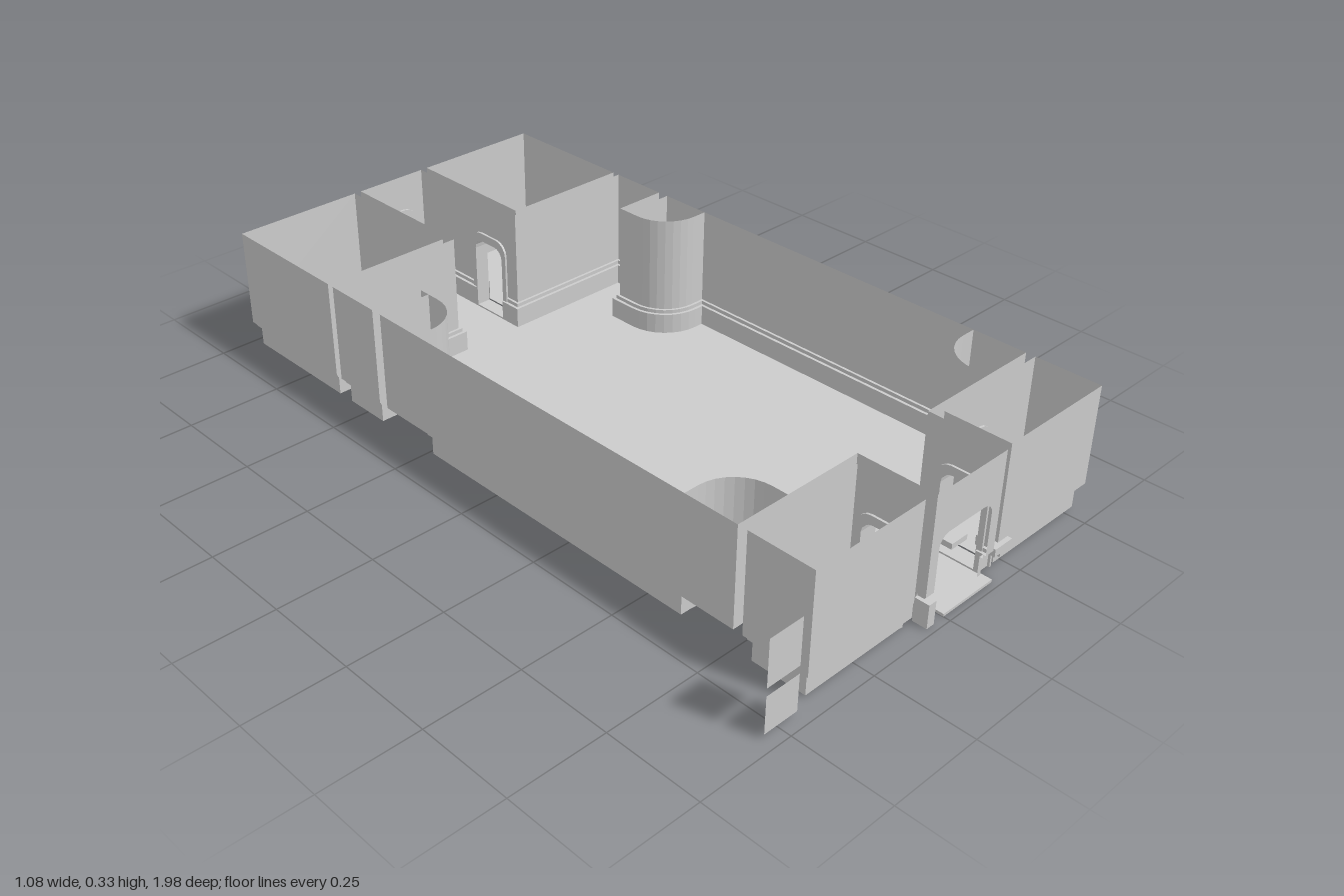
import * as THREE from 'three';
import { mergeGeometries } from 'three/addons/utils/BufferGeometryUtils.js';

const TOP = 0.335, LEDGE = 0.075, FLOOR = 0.01, MID = 0.0625;
const mat = new THREE.MeshStandardMaterial({ color: 0xcccccc, side: THREE.DoubleSide, flatShading: true });
// skirting cross-section: [inset from wall, height]
const SKIRT = [[0.015, FLOOR], [0.015, 0.065], [0.007, 0.065], [0.007, LEDGE], [0, LEDGE]];

// doorways: centre, clear width, wall axis, depth of the connecting frame
const DOORS = [
  { name: 'backLeftDoor', x: -0.05, z: -0.68, w: 0.115, axis: 'z', d: 0.04 },
  { name: 'backRightDoor', x: 0.175, z: -0.68, w: 0.115, axis: 'z', d: 0.04 },
  { name: 'frontLeftDoor', x: -0.07, z: 0.875, w: 0.115, axis: 'z', d: 0.05 },
  { name: 'frontRightDoor', x: 0.1925, z: 0.878, w: 0.115, axis: 'z', d: 0.045 },
  { name: 'hallDoor', x: 0.31, z: 0.778, w: 0.115, axis: 'x', d: 0.045 },
  { name: 'rearExit', x: MID, z: -0.983, w: 0.115, axis: 'x', d: 0.034 },
  { name: 'frontEntrance', x: MID, z: 0.97, w: 0.18, axis: 'x', d: 0 },
];

const v2 = (p) => new THREE.Vector2(p[0], p[1]);
const mirror = (pts) => pts.map(([x, z]) => [2 * MID - x, z]).reverse();

function add(group, name, geometry) {
  const mesh = new THREE.Mesh(geometry, mat);
  mesh.name = name;
  group.add(mesh);
  return mesh;
}

function box(group, name, x0, x1, y0, y1, z0, z1) {
  const g = new THREE.BoxGeometry(x1 - x0, y1 - y0, z1 - z0);
  g.translate((x0 + x1) / 2, (y0 + y1) / 2, (z0 + z1) / 2);
  return add(group, name, g);
}

// points of a round-shouldered door outline, from lower left to lower right
function arch(c, w, y0, h, r = 0.03) {
  const pts = [[c - w / 2, y0]];
  for (let i = 0; i <= 4; i++) {
    const a = Math.PI - (i / 4) * Math.PI / 2;
    pts.push([c - w / 2 + r + r * Math.cos(a), h - r + r * Math.sin(a)]);
  }
  return pts.concat(pts.map(([x, y]) => [2 * c - x, y]).reverse());
}

function plate(pts, y) {
  return new THREE.ShapeGeometry(new THREE.Shape(pts.map(v2))).rotateX(Math.PI / 2).translate(0, y, 0);
}

// doorway on the wall a-b as a distance along it
function doorOn(a, b) {
  const d = v2(b).sub(v2(a)), len = d.length();
  d.normalize();
  for (const door of DOORS) {
    const p = new THREE.Vector2(door.x, door.z).sub(v2(a));
    const s = p.dot(d), off = Math.abs(p.cross(d));
    if (off < 0.02 && s > door.w / 2 && s < len - door.w / 2) return { s, w: door.w };
  }
  return null;
}

// upright wall above the ledge, notched for a doorway
function wall(a, b) {
  const d = v2(b).sub(v2(a)), len = d.length(), door = doorOn(a, b);
  d.normalize();
  const pts = [[0, LEDGE], ...(door ? arch(door.s, door.w, LEDGE, 0.217) : []), [len, LEDGE], [len, TOP], [0, TOP]];
  const m = new THREE.Matrix4().makeBasis(
    new THREE.Vector3(d.x, 0, d.y), new THREE.Vector3(0, 1, 0), new THREE.Vector3(-d.y, 0, d.x));
  m.setPosition(a[0], 0, a[1]);
  return new THREE.ShapeGeometry(new THREE.Shape(pts.map(v2))).applyMatrix4(m);
}

// move a closed outline inwards with mitred corners
function inset(pts, dist) {
  const n = pts.length;
  const normal = (i) => {
    const d = v2(pts[(i + 1) % n]).sub(v2(pts[i % n])).normalize();
    return new THREE.Vector2(-d.y, d.x);
  };
  return pts.map((p, i) => {
    const n1 = normal(i + n - 1), n2 = normal(i);
    const k = dist / (1 + n1.dot(n2));
    return [p[0] + (n1.x + n2.x) * k, p[1] + (n1.y + n2.y) * k];
  });
}

// stepped skirting around an outline, interrupted at doorways
function skirting(outline) {
  const rings = SKIRT.map(([d]) => inset(outline, d)), pos = [], n = outline.length;
  for (let i = 0; i < n; i++) {
    const j = (i + 1) % n, a = v2(outline[i]), dir = v2(outline[j]).sub(a).normalize();
    const door = doorOn(outline[i], outline[j]);
    for (let k = 0; k + 1 < SKIRT.length; k++) {
      const ends = [k, k + 1].map((l) => {
        const p = v2(rings[l][i]), q = v2(rings[l][j]);
        if (!door) return [p, q];
        const s0 = p.clone().sub(a).dot(dir);
        const at = (s) => p.clone().addScaledVector(dir, s - s0);
        return [p, at(door.s - door.w / 2), at(door.s + door.w / 2), q];
      });
      for (let e = 0; e < ends[0].length; e += 2) {
        const c = (l, m) => [ends[l][e + m].x, SKIRT[k + l][1], ends[l][e + m].y];
        pos.push(...c(0, 0), ...c(0, 1), ...c(1, 1), ...c(0, 0), ...c(1, 1), ...c(1, 0));
      }
    }
  }
  const g = new THREE.BufferGeometry();
  g.setAttribute('position', new THREE.Float32BufferAttribute(pos, 3));
  g.computeVertexNormals();
  return g;
}

function room(parent, name, outline) {
  const g = new THREE.Group();
  g.name = name;
  parent.add(g);
  add(g, 'walls', mergeGeometries(outline.map((p, i) => wall(p, outline[(i + 1) % outline.length]))));
  add(g, 'skirting', skirting(outline));
  add(g, 'floor', plate(inset(outline, SKIRT[0][0]), FLOOR));
}

// arched frame bridging the gap between two walls, with a rim at each end
function doorFrame(parent, door) {
  const g = new THREE.Group();
  g.name = door.name;
  const ring = (w, h, depth, z) => {
    const s = new THREE.Shape(arch(0, w, 0.003, h, 0.038).map(v2));
    s.holes.push(new THREE.Path(arch(0, door.w - 0.006, 0.01, 0.215).map(v2)));
    return new THREE.ExtrudeGeometry(s, { depth, bevelEnabled: false }).translate(0, 0, z);
  };
  add(g, 'frame', ring(door.w + 0.012, 0.228, door.d, -door.d / 2));
  for (const side of [-1, 1]) add(g, 'rim', ring(door.w + 0.024, 0.238, 0.006, side * (door.d / 2 - 0.003) - 0.003));
  g.position.set(door.x, 0, door.z);
  if (door.axis === 'z') g.rotation.y = Math.PI / 2;
  parent.add(g);
}

export function createModel() {
  const model = new THREE.Group();
  model.name = 'floorOfRooms';

  // four corner rooms
  const rect = (x0, x1, z0, z1) => [[x0, z0], [x1, z0], [x1, z1], [x0, z1]];
  room(model, 'backLeftRoom', rect(-0.415, -0.06, -0.975, -0.595));
  room(model, 'backRightRoom', rect(0.185, 0.54, -0.975, -0.595));
  room(model, 'frontLeftRoom', rect(-0.415, -0.085, 0.79, 0.963));
  room(model, 'frontRightRoom', rect(0.205, 0.54, 0.79, 0.963));

  // hall with both corridors and four rounded corner columns
  const arc = (z, a0, a1) => Array.from({ length: 9 }, (_, i) => {
    const a = (a0 + (a1 - a0) * i / 8) * Math.PI;
    return [0.5 + 0.105 * Math.cos(a), z + 0.105 * Math.sin(a)];
  });
  const backArc = arc(-0.35, 1, 0.5), frontArc = arc(0.725, 1.5, 1);
  const half = [[0.165, -0.975], [0.165, -0.575], [0.54, -0.575], [0.54, -0.415], [0.395, -0.415],
    ...backArc, [0.54, -0.245], [0.54, 0.62], ...frontArc, [0.395, 0.765], [0.18, 0.765], [0.18, 0.97]];
  room(model, 'hall', [...half, ...mirror(half)]);

  // outer walls, undersides and pegs of the columns
  const columns = [
    { outer: [[0.395, -0.385], [0.54, -0.385], [0.54, -0.245]], arc: backArc.slice().reverse(), z: -0.34 },
    { outer: [[0.54, 0.62], [0.54, 0.765], [0.395, 0.765]], arc: frontArc.slice().reverse(), z: 0.71 },
  ];
  for (const c of columns) for (const flip of [false, true]) {
    const f = (pts) => (flip ? mirror(pts) : pts);
    const o = f(c.outer);
    add(model, 'columnOuterWall', mergeGeometries([wall(o[0], o[1]), wall(o[1], o[2])]));
    add(model, 'columnUnderside', plate(f([...c.outer, ...c.arc]), LEDGE));
    const peg = add(model, 'columnPeg', new THREE.CylinderGeometry(0.023, 0.023, 0.02, 12));
    peg.position.set(flip ? 2 * MID - 0.485 : 0.485, LEDGE - 0.005, c.z);
  }

  // door frames and the closed rear door
  for (const d of DOORS) if (d.d) doorFrame(model, d);
  const leaf = new THREE.Shape(arch(MID, 0.112, 0.008, 0.215).map(v2));
  add(model, 'rearDoorLeaf', new THREE.ShapeGeometry(leaf).translate(0, 0, -0.988));

  // threshold, jamb and catch at the front entrance
  box(model, 'threshold', 0.0, 0.17, 0.003, FLOOR, 0.95, 0.982);
  box(model, 'entranceJamb', -0.058, -0.034, 0.003, 0.065, 0.945, 0.983);
  box(model, 'catchBar', 0.18, 0.24, 0.06, 0.08, 0.955, 0.975);
  box(model, 'catchBlock', 0.2, 0.218, 0.05, 0.075, 0.91, 0.975);
  box(model, 'catchHandle', 0.135, 0.19, 0.06, 0.075, 0.85, 0.895);

  // two loose square panels beside the front
  for (const [y0, y1] of [[0.015, 0.11], [0.13, 0.25]]) {
    const p = add(model, 'loosePanel', new THREE.PlaneGeometry(0.095, y1 - y0));
    p.position.set(-0.497, (y0 + y1) / 2, 0.97);
  }
  return model;
}
